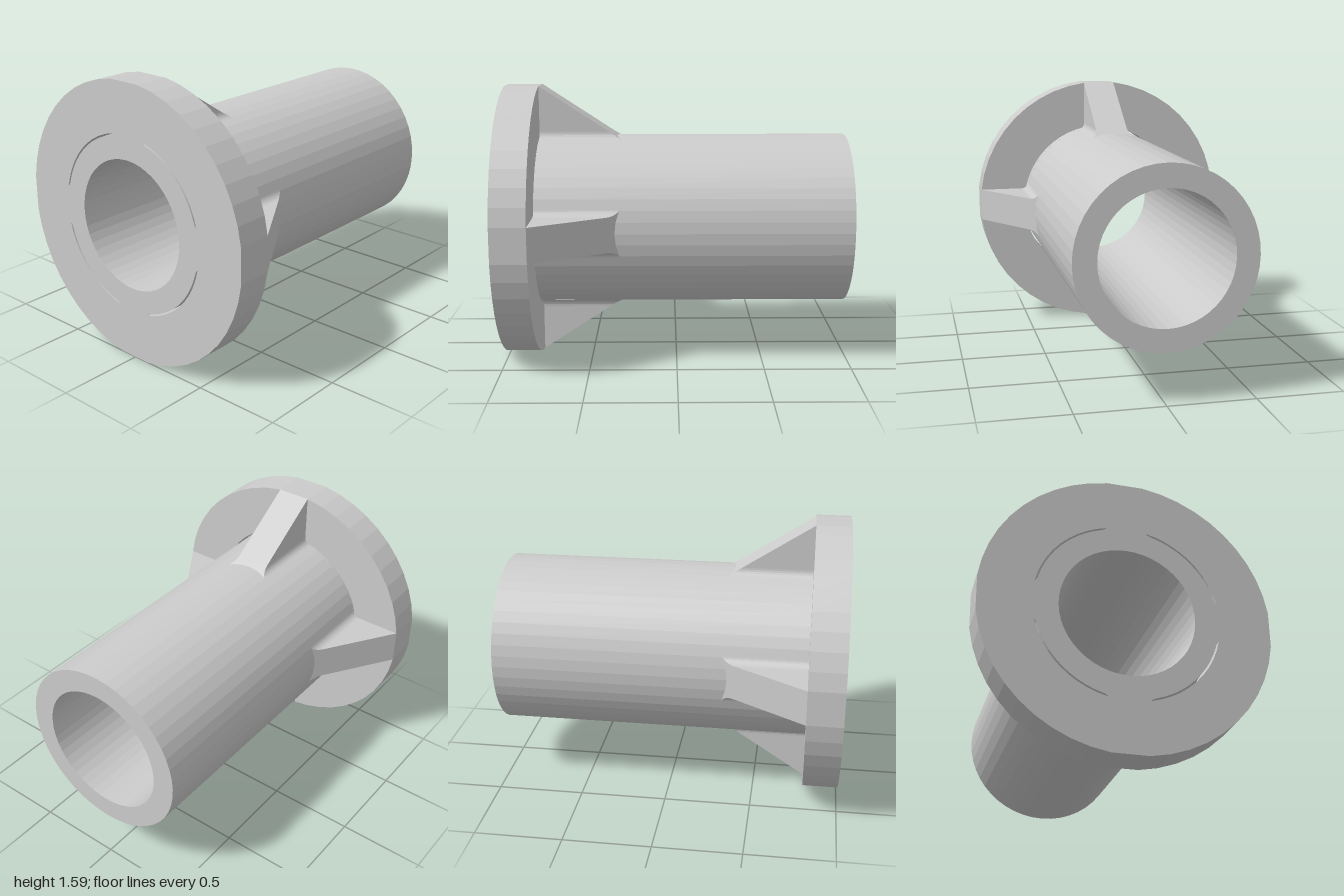
import * as THREE from 'three';

const TUBE_R = 0.5, BORE_R = 0.37, FLANGE_R = 0.8, SLOT_R = 0.51;
const RIB_HALF = 0.1, FILLET = 0.05;
const BACK = -1, FLANGE_BACK = 0.8, FRONT = 1;
const RIB_TOP = Math.sqrt(FLANGE_R ** 2 - RIB_HALF ** 2);
const RIB_SLOPE = 0.652; // rise of the rib edge per unit of z

const material = new THREE.MeshStandardMaterial({ color: 0xcccccc });

const polar = (r, a) => new THREE.Vector2(r * Math.cos(a), r * Math.sin(a));

function arc(r, from, to, n) {
  return Array.from({ length: n + 1 }, (_, i) => polar(r, from + (to - from) * i / n));
}

// Circle points without the repeated end
const circle = (r, n) => arc(r, 0, Math.PI * 2, n).slice(0, -1);

// Fillet between tube wall and right side of the top rib, starting at the tube
const filletX = RIB_HALF + FILLET;
const filletC = new THREE.Vector2(filletX, Math.sqrt((TUBE_R + FILLET) ** 2 - filletX ** 2));
const filletStart = filletC.angle() + Math.PI; // direction back to the axis
function filletArc(endAngle, n) {
  return arc(FILLET, filletStart, endAngle, n).map(p => p.add(filletC));
}

function extrude(outline, holes, z0, z1) {
  const shape = new THREE.Shape(outline);
  shape.holes = holes.map(h => new THREE.Path(h));
  const geo = new THREE.ExtrudeGeometry(shape, { depth: z1 - z0, bevelEnabled: false });
  return geo.translate(0, 0, z0);
}

function addMesh(parent, name, geo) {
  const mesh = new THREE.Mesh(geo, material);
  mesh.name = name;
  parent.add(mesh);
  return mesh;
}

// Turn a list of points by a quarter turn k times
const turn = (pts, k) => pts.map(p => p.clone().rotateAround(new THREE.Vector2(), k * Math.PI / 2));

// Thin curved slot of the first quadrant, symmetric about its diagonal
function slotOutline() {
  const d = TUBE_R + FILLET;
  const sweep = Math.acos((d * d + FILLET ** 2 - SLOT_R ** 2) / (2 * d * FILLET));
  const fillet = filletArc(filletStart - sweep, 3);
  const half = [
    ...arc(TUBE_R, Math.PI / 4, filletC.angle(), 5).slice(0, -1),
    ...fillet,
    ...arc(SLOT_R, fillet[3].angle(), Math.PI / 4, 5).slice(1),
  ];
  const mirrored = half.slice(1, -1).reverse().map(p => new THREE.Vector2(p.y, p.x));
  return [...half, ...mirrored];
}

function flangeGeometry() {
  const a = Math.asin(RIB_HALF / FLANGE_R);
  const quarter = arc(FLANGE_R, a, Math.PI / 2 - a, 10);
  const quarters = [0, 1, 2, 3];
  const outline = quarters.flatMap(k => turn(quarter, k)); // flats between the arcs
  const slot = slotOutline();
  const holes = [circle(BORE_R, 48), ...quarters.map(k => turn(slot, k))];
  return extrude(outline, holes, FLANGE_BACK, FRONT);
}

// Filleted rib section, its back end sheared to the sloping edge
function ribGeometry() {
  const right = [...filletArc(Math.PI, 6), new THREE.Vector2(RIB_HALF, RIB_TOP)];
  const left = right.map(p => new THREE.Vector2(-p.x, p.y)).reverse();
  const geo = extrude([...right, ...left], [], 0, 1);
  const pos = geo.attributes.position;
  for (let i = 0; i < pos.count; i++) {
    const slopeZ = FLANGE_BACK - (RIB_TOP - pos.getY(i)) / RIB_SLOPE;
    pos.setZ(i, pos.getZ(i) > 0.5 ? FLANGE_BACK : slopeZ);
  }
  geo.computeVertexNormals();
  return geo;
}

export function createModel() {
  const model = new THREE.Group();
  model.name = 'flangedSleeve';

  addMesh(model, 'tube', extrude(circle(TUBE_R, 48), [circle(BORE_R, 48)], BACK, FLANGE_BACK));
  addMesh(model, 'flange', flangeGeometry());

  // Four gussets around the tube
  const ribs = new THREE.Group();
  ribs.name = 'ribs';
  const ribGeo = ribGeometry();
  for (let k = 0; k < 4; k++) {
    addMesh(ribs, 'rib', ribGeo).rotation.z = k * Math.PI / 2;
  }
  model.add(ribs);

  model.position.y = RIB_TOP;
  return model;
}
